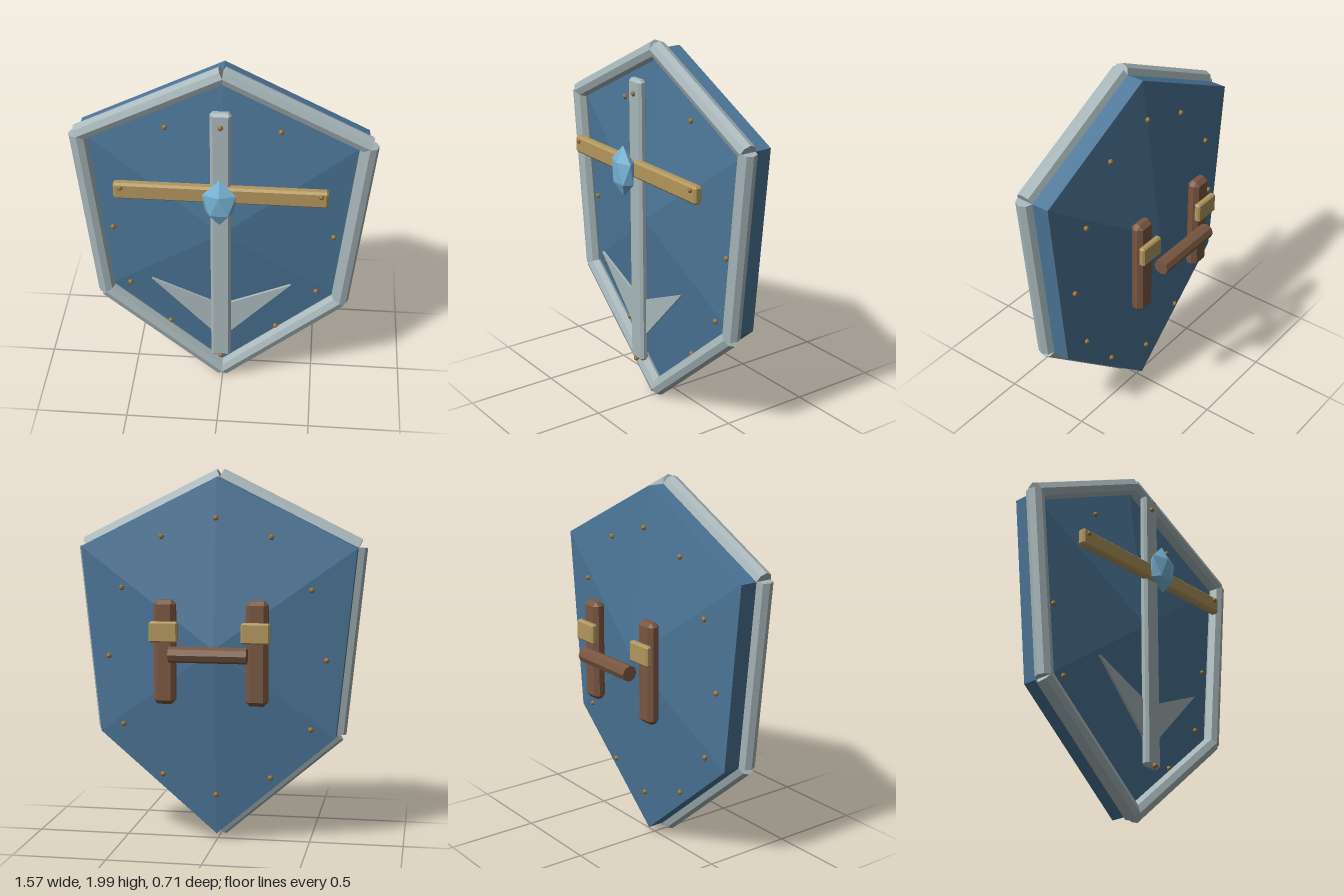
import * as THREE from 'three';
import { ConvexGeometry } from 'three/addons/geometries/ConvexGeometry.js';

const mat = (name, color) => {
  const m = new THREE.MeshStandardMaterial({ color });
  m.name = name;
  return m;
};
const V = (x, y, z) => new THREE.Vector3(x, y, z);

// Faceted normals for a rounded built-in geometry
function faceted(geo) {
  const g = geo.toNonIndexed();
  g.computeVertexNormals();
  return g;
}

// Box with all edges chamfered by b
function chamferBox(w, h, d, b) {
  const pts = [], x = w / 2, y = h / 2, z = d / 2;
  for (const i of [-1, 1]) for (const j of [-1, 1]) for (const k of [-1, 1]) {
    pts.push(V(i * x, j * (y - b), k * (z - b)));
    pts.push(V(i * (x - b), j * y, k * (z - b)));
    pts.push(V(i * (x - b), j * (y - b), k * z));
  }
  return new ConvexGeometry(pts);
}

export function createModel() {
  const group = new THREE.Group();
  group.name = 'shield';
  const blue = mat('blue panel', 0x4b7597);
  const steel = mat('steel', 0xa8b7ba);
  const gold = mat('gold', 0xb2965c);
  const bronze = mat('bronze', 0x9a7035);
  const wood = mat('wood', 0x785640);
  const crystal = mat('crystal', 0x78b4d6);

  const add = (name, geo, material, x = 0, y = 0, z = 0) => {
    const m = new THREE.Mesh(geo, material);
    m.name = name;
    m.position.set(x, y, z);
    group.add(m);
    return m;
  };

  // Body: six-sided slab with a shallow peak on both faces
  const outline = [[0, 1.957], [0.737, 1.59], [0.637, 0.59], [0, 0.043], [-0.637, 0.59], [-0.737, 1.59]];
  const midY = 1.06, midZ = 0.02, halfEdge = 0.06, halfPeak = 0.175;
  const bodyPts = [V(0, midY, midZ + halfPeak), V(0, midY, midZ - halfPeak)];
  for (const [x, y] of outline) bodyPts.push(V(x, y, midZ + halfEdge), V(x, y, midZ - halfEdge));
  add('body', new ConvexGeometry(bodyPts), blue);

  // Half thickness of the body at a point
  const halfThickness = (x, y) => {
    let f = 0;
    outline.forEach(([ax, ay], i) => {
      const [bx, by] = outline[(i + 1) % 6];
      const nx = ay - by, ny = bx - ax;
      f = Math.max(f, (x * nx + (y - midY) * ny) / (ax * nx + (ay - midY) * ny));
    });
    return halfPeak - f * (halfPeak - halfEdge);
  };

  // Rim: one octagonal rod along each edge
  outline.forEach(([ax, ay], i) => {
    const [bx, by] = outline[(i + 1) % 6];
    const len = Math.hypot(bx - ax, by - ay);
    const rod = add('rimRod', faceted(new THREE.CylinderGeometry(0.047, 0.047, len, 8)), steel,
      (ax + bx) / 2, (ay + by) / 2, 0.101);
    rod.rotation.z = Math.atan2(by - ay, bx - ax) - Math.PI / 2;
  });

  // Front emblem: upright, crossbar and two pointed flukes
  add('upright', chamferBox(0.106, 1.56, 0.048, 0.014), steel, 0, 1.04, 0.224);
  add('crossbar', chamferBox(1.088, 0.094, 0.048, 0.011), gold, 0, 1.352, 0.242);
  for (const s of [-1, 1]) {
    const shape = new THREE.Shape([
      new THREE.Vector2(0, 0.6), new THREE.Vector2(s * 0.37, 0.762), new THREE.Vector2(0, 0.365)]);
    add('fluke', new THREE.ExtrudeGeometry(shape, { depth: 0.014, bevelEnabled: false }), steel, 0, 0, 0.205);
  }

  // Gem: two staggered rings of five between two points
  const gemPts = [V(0, 0.137, 0), V(0, -0.137, 0)];
  for (let i = 0; i < 5; i++) {
    const a = (i * Math.PI * 2) / 5;
    gemPts.push(V(0.09 * Math.sin(a), 0.052, 0.04 * Math.cos(a)));
    gemPts.push(V(-0.076 * Math.sin(a), -0.062, -0.04 * Math.cos(a)));
  }
  add('gem', new ConvexGeometry(gemPts), crystal, 0, 1.348, 0.316);

  // Rivets: an ellipse of twelve on each face, raised where they sit on the bars
  const rivetGeo = faceted(new THREE.SphereGeometry(0.0145, 8, 6));
  for (let i = 0; i < 12; i++) {
    const a = (i * Math.PI) / 6;
    const x = 0.585 * Math.sin(a), y = 1.005 + 0.74 * Math.cos(a);
    const t = halfThickness(x, y);
    let front = midZ + t + 0.003;
    if (i % 6 === 0) front = 0.248;
    if (i === 2 || i === 10) front = 0.264;
    add('frontRivet', rivetGeo, bronze, x, y, front);
    add('backRivet', rivetGeo, bronze, x, y, midZ - t - 0.003);
  }

  // Back handle: two posts with straps and a grip between
  for (const s of [-1, 1]) {
    add('handlePost', chamferBox(0.116, 0.545, 0.07, 0.022), wood, s * 0.242, 1.055, -0.22);
    add('handleStrap', chamferBox(0.15, 0.108, 0.035, 0.008), gold, s * 0.24, 1.165, -0.271);
  }
  const grip = add('grip', faceted(new THREE.CylinderGeometry(0.042, 0.042, 0.405, 8)), wood, 0, 1.055, -0.312);
  grip.rotation.z = Math.PI / 2;

  return group;
}
